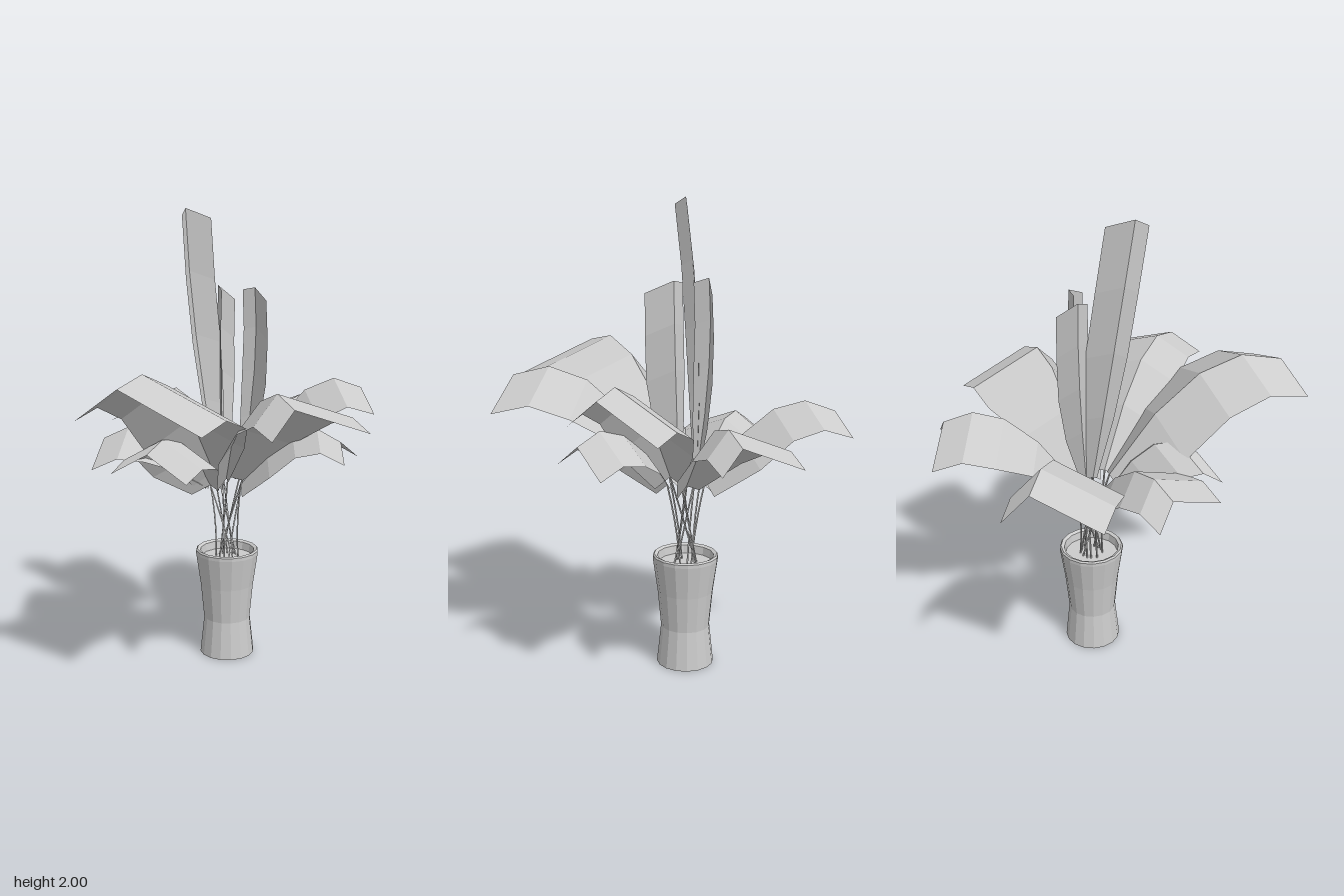
import * as THREE from 'three';

const POT = new THREE.Vector3(0.13, 0, -0.055);
const V = (a) => new THREE.Vector3(...a);

const potMaterial = new THREE.MeshStandardMaterial({ color: 0xcccccc, flatShading: true });
const leafMaterial = new THREE.MeshStandardMaterial({
  color: 0xcccccc, flatShading: true, side: THREE.DoubleSide,
});

// Width along a leaf: [position, share of first corner, share of second corner]
const SPREAD_WIDTH = [[0, 0.22, 0.55], [0.25, 0.7, 1.2], [0.5, 1, 1.15], [0.75, 1.02, 1.08], [1, 1, 1]];
const UPRIGHT_WIDTH = [[0, 0.3, 0.3], [0.25, 0.8, 0.8], [0.5, 1.02, 1.02], [0.75, 1.02, 1.02], [1, 1, 1]];

// Spreading leaves: rib end, then the wide and the narrow end corner
const spreading = {
  leafBack: [[0.38, 1.12, -0.63], [0.11, 1.01, -0.74], [0.49, 1.02, -0.65]],
  leafRight: [[0.745, 1.1, 0.03], [0.78, 1.0, -0.22], [0.775, 1.01, 0.13]],
  leafFrontRight: [[0.4, 1.25, 0.46], [0.68, 1.12, 0.34], [0.34, 1.15, 0.56]],
  leafFrontLow: [[0.22, 1.04, 0.47], [0.41, 0.94, 0.45], [0.15, 0.96, 0.53]],
  leafFront: [[-0.29, 1.26, 0.56], [-0.03, 1.15, 0.74], [-0.425, 1.16, 0.55]],
  leafLeft: [[-0.69, 1.34, 0.04], [-0.66, 1.2, 0.41], [-0.785, 1.22, -0.09]],
  leafLeftLow: [[-0.32, 1.0, -0.14], [-0.31, 0.9, 0.06], [-0.41, 0.92, -0.26]],
  leafBackLeft: [[-0.17, 1.0, -0.52], [-0.38, 0.91, -0.4], [-0.11, 0.91, -0.61]],
};

// Upright leaves: base, bend, then rib end and corners
const upright = {
  tallLeaf: [[0.12, 0.88, -0.11], [0.03, 1.5, -0.18],
    [-0.05, 2.0, -0.14], [-0.105, 1.97, -0.115], [0.06, 1.96, -0.09]],
  uprightBackLeaf: [[0.15, 0.88, -0.1], [0.18, 1.35, -0.16],
    [0.17, 1.675, -0.135], [0.13, 1.655, -0.085], [0.255, 1.61, -0.105]],
  uprightFrontLeaf: [[0.17, 0.88, 0.0], [0.23, 1.35, 0.05],
    [0.2, 1.67, 0.04], [0.14, 1.62, 0.14], [0.18, 1.66, -0.01]],
};

// A folded blade: two strips meeting along a curved rib
function bladeGeometry(rib, cornerA, cornerB, width) {
  const offsetA = cornerA.clone().sub(rib.v2);
  const offsetB = cornerB.clone().sub(rib.v2);
  const positions = [];
  const index = [];
  width.forEach(([t, shareA, shareB], row) => {
    const centre = rib.getPoint(t);
    positions.push(
      ...centre.clone().addScaledVector(offsetA, shareA).toArray(),
      ...centre.toArray(),
      ...centre.clone().addScaledVector(offsetB, shareB).toArray());
    if (row === 0) return;
    for (let c = 0; c < 2; c++) {
      const a = (row - 1) * 3 + c;
      const b = row * 3 + c;
      index.push(a, b, a + 1, b, b + 1, a + 1);
    }
  });
  const geometry = new THREE.BufferGeometry();
  geometry.setAttribute('position', new THREE.Float32BufferAttribute(positions, 3));
  geometry.setIndex(index);
  const flat = geometry.toNonIndexed();
  flat.computeVertexNormals();
  return flat;
}

// Thin stem from the soil to the foot of a blade
function stemGeometry(foot, angle) {
  const root = new THREE.Vector3(POT.x + 0.05 * Math.cos(angle), 0.44, POT.z + 0.05 * Math.sin(angle));
  const bend = root.clone().lerp(foot, 0.5);
  bend.x += (POT.x - bend.x) * 0.3;
  bend.z += (POT.z - bend.z) * 0.3;
  return new THREE.TubeGeometry(new THREE.QuadraticBezierCurve3(root, bend, foot), 5, 0.004, 4);
}

export function createModel() {
  const model = new THREE.Group();
  model.name = 'pottedPlant';

  const add = (name, geometry, material) => {
    const mesh = new THREE.Mesh(geometry, material);
    mesh.name = name;
    model.add(mesh);
    return mesh;
  };

  // Waisted pot with rim and soil
  const profile = [[0, 0], [0.124, 0], [0.106, 0.17], [0.121, 0.33], [0.142, 0.475],
    [0.142, 0.49], [0.136, 0.497], [0.122, 0.49], [0.117, 0.455], [0, 0.455]];
  const pot = add('pot', new THREE.LatheGeometry(
    profile.map(([r, y]) => new THREE.Vector2(r, y)), 16), potMaterial);
  pot.position.copy(POT);

  const addLeaf = (name, [base, bend, tip, a, b], width, angle) => {
    const rib = new THREE.QuadraticBezierCurve3(base, bend, tip);
    add(name, bladeGeometry(rib, a, b, width), leafMaterial);
    add(name + 'Stem', stemGeometry(base, angle), leafMaterial);
  };

  // Leaves that arch outward, swirl a little around the pot and droop at the end
  Object.entries(spreading).forEach(([name, points], i) => {
    const [tip, a, b] = points.map(V);
    const out = tip.clone().sub(POT).setY(0).normalize();
    const side = new THREE.Vector3(-out.z, 0, out.x);
    const base = POT.clone().addScaledVector(out, 0.08).addScaledVector(side, 0.025)
      .setY(0.8 + (tip.y - 1) * 0.2);
    const bend = base.clone().lerp(tip, 0.54).setY(tip.y + 0.17);
    addLeaf(name, [base, bend, tip, a, b], SPREAD_WIDTH, i * 2.4);
  });

  // Leaves that stand up in the middle
  Object.entries(upright).forEach(([name, points], i) => {
    addLeaf(name, points.map(V), UPRIGHT_WIDTH, (i + 8) * 2.4);
  });

  return model;
}
